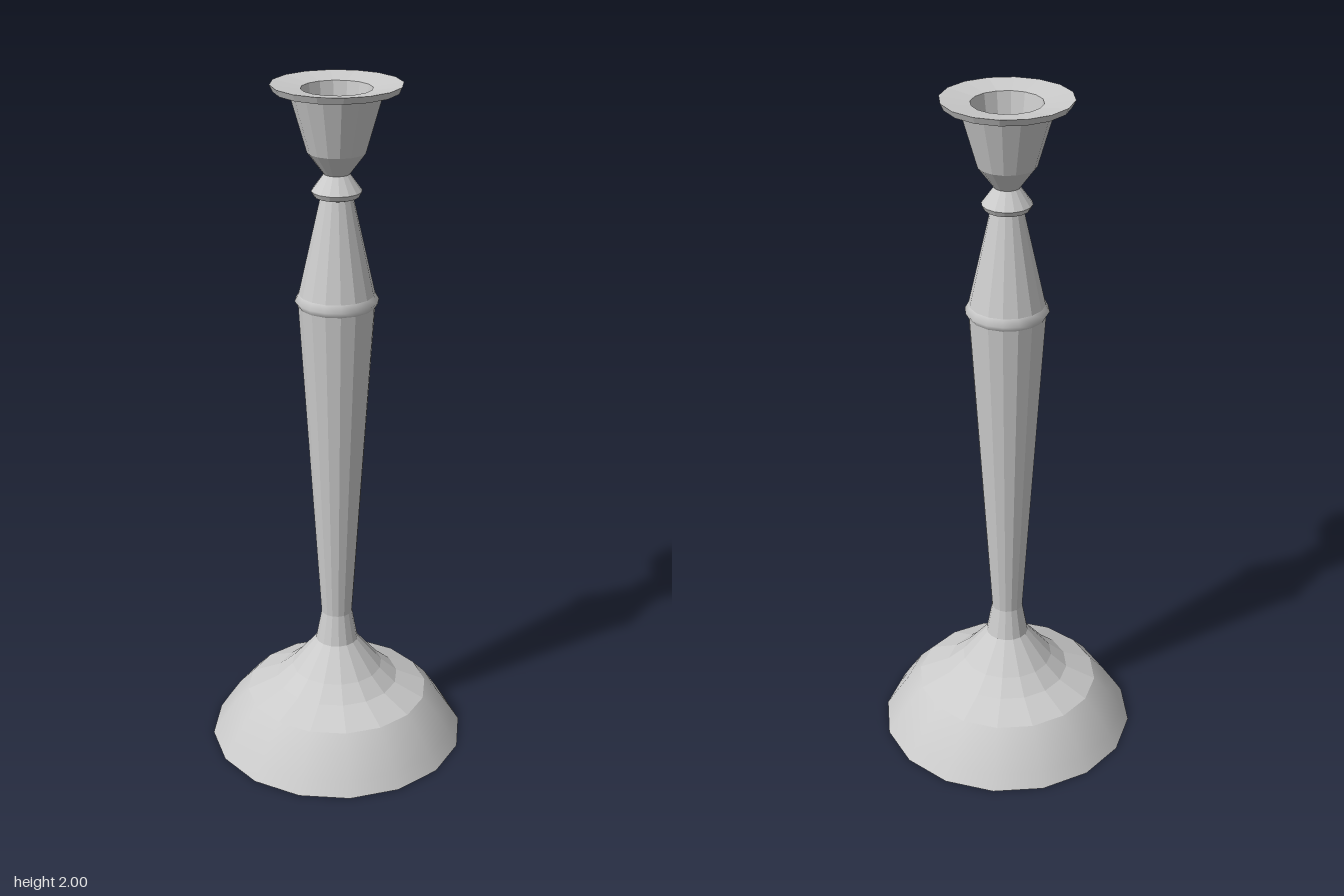
import * as THREE from 'three';

const SIDES = 16;

// Turned section: profile of [radius, height] pairs running upward on the outside
function turned(name, profile, flatShading = true) {
  const points = profile.map(([r, y]) => new THREE.Vector2(r, y));
  const material = new THREE.MeshStandardMaterial({
    color: 0xcccccc, flatShading, side: THREE.DoubleSide,
  });
  const mesh = new THREE.Mesh(new THREE.LatheGeometry(points, SIDES), material);
  mesh.name = name;
  return mesh;
}

export function createModel() {
  const group = new THREE.Group();
  group.name = 'candlestick';

  group.add(
    // Recessed underside and domed foot
    turned('baseUnderside', [[0, 0.115], [0.14, 0.105], [0.27, 0.075], [0.382, 0]], false),
    turned('baseDome', [[0.382, 0], [0.357, 0.04], [0.314, 0.105], [0.272, 0.15]], false),
    // Concave sweep from the foot up to the stem
    turned('baseFlare', [[0.272, 0.15], [0.184, 0.19], [0.136, 0.232], [0.063, 0.32], [0.046, 0.413]]),
    // Stem widening upward to a thin rounded ridge
    turned('stem', [[0.046, 0.413], [0.108, 1.382]]),
    turned('stemRidge', [[0.108, 1.382], [0.118, 1.398], [0.107, 1.418]], false),
    turned('stemShoulder', [[0.107, 1.418], [0.046, 1.69]]),
    // Small bead below the cup
    turned('neckBead', [[0.046, 1.69], [0.062, 1.695], [0.07, 1.71], [0.036, 1.757]]),
    // Cup body, slightly dished lip and candle socket
    turned('cup', [[0.036, 1.757], [0.081, 1.817], [0.126, 1.972]]),
    turned('cupLip', [[0.126, 1.972], [0.17, 1.981], [0.179, 2], [0.097, 1.988]]),
    turned('candleSocket', [[0.097, 1.988], [0.072, 1.83], [0.02, 1.775], [0, 1.775]]),
  );
  return group;
}
